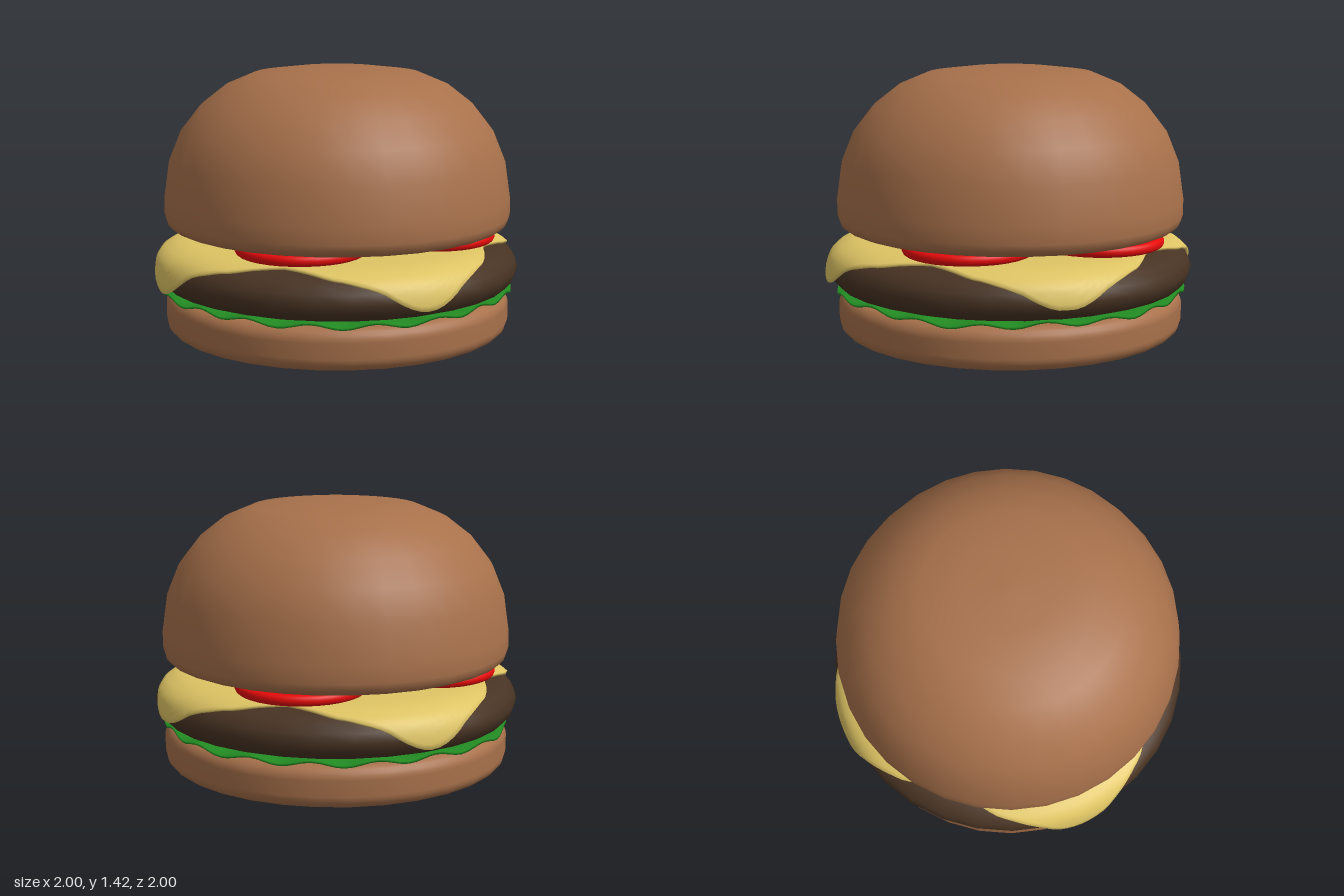
import * as THREE from 'three';

const TAU = Math.PI * 2;
const material = (color) => new THREE.MeshStandardMaterial({ color });

function addMesh(parent, name, geometry, mat) {
  const mesh = new THREE.Mesh(geometry, mat);
  mesh.name = name;
  parent.add(mesh);
  return mesh;
}

// Solid of revolution from [radius, height] pairs, listed bottom to top
function lathe(points) {
  return new THREE.LatheGeometry(points.map(([r, y]) => new THREE.Vector2(r, y)), 32);
}

// Flat puck with rounded rim
function puck(radius, y0, y1, round, steps = 6) {
  const inner = radius - round;
  const pts = [[0, y0], [inner - round * 0.3, y0]];
  for (const [y, start] of [[y0 + round, -Math.PI / 2], [y1 - round, 0]])
    for (let i = 0; i <= steps; i++) {
      const a = start + (i / steps) * (Math.PI / 2);
      pts.push([inner + Math.cos(a) * round, y + Math.sin(a) * round]);
    }
  pts.push([inner - round * 0.3, y1], [0, y1]);
  return lathe(pts);
}

// Linear lookup in a list of [key, ...values]
function lookup(table, key) {
  let i = 1;
  while (i < table.length - 1 && table[i][0] < key) i++;
  const a = table[i - 1], b = table[i];
  const t = (key - a[0]) / (b[0] - a[0]);
  return a.slice(1).map((v, k) => v + (b[k + 1] - v) * t);
}

// Closed thin sheet: rings run out over the top, round the edge and back underneath.
// place(t, angle, side) gives a point; t = 0 centre, t = 1 edge; side 1 top, -1 underside
function sheet(place, rings, segments) {
  const pos = [], index = [], rows = [];
  for (let i = 0; i <= rings; i++) rows.push([i / rings, 1]);
  for (let i = rings; i >= 0; i--) rows.push([i / rings, -1]);
  for (const [t, side] of rows)
    for (let j = 0; j < segments; j++) pos.push(...place(t, (j / segments) * TAU, side));
  for (let i = 0; i < rows.length - 1; i++)
    for (let j = 0; j < segments; j++) {
      const a = i * segments + j, b = i * segments + (j + 1) % segments;
      const c = a + segments, d = b + segments;
      index.push(a, c, b, b, c, d);
    }
  const g = new THREE.BufferGeometry();
  g.setAttribute('position', new THREE.Float32BufferAttribute(pos, 3));
  g.setIndex(index);
  g.computeVertexNormals();
  return g;
}

// Square slice draped over the patty, corners hanging on the four axes
function cheeseGeometry() {
  // distance along the drape -> radius, height
  const drape = [[0, 0, 0.505], [0.75, 0.75, 0.503], [0.82, 0.82, 0.499], [0.87, 0.87, 0.49],
    [0.94, 0.93, 0.465], [0.99, 0.97, 0.43], [1.04, 0.99, 0.38], [1.09, 1.0, 0.33], [1.16, 1.0, 0.26]];
  // degrees away from a corner -> length of the slice
  const reach = [[0, 1.115], [3, 1.11], [6, 1.09], [9, 1.06], [13, 1.015], [17, 0.985], [22, 0.955],
    [28, 0.925], [33, 0.885], [39, 0.84], [45, 0.815]];
  // +z, +x, -z and -x corners hang to slightly different depths
  const extra = [0, -0.02, 0.005, 0.02];
  return sheet((t, a, side) => {
    const quarter = Math.round(a / (Math.PI / 2));
    const off = Math.abs(a - quarter * Math.PI / 2) * 180 / Math.PI;
    const edge = lookup(reach, off)[0] + extra[quarter % 4] * Math.max(0, 1 - off / 15);
    const s = edge * Math.pow(t, 0.55);
    let [r, y] = lookup(drape, s);
    if (side < 0) {
      const [r0, y0] = lookup(drape, Math.max(0, s - 0.02));
      const [r1, y1] = lookup(drape, s + 0.02);
      const len = Math.hypot(r1 - r0, y1 - y0);
      r = Math.max(0, r + (y1 - y0) / len * 0.014);
      y -= (r1 - r0) / len * 0.014;
    }
    return [Math.sin(a) * r, y, Math.cos(a) * r];
  }, 24, 144);
}

// Leaf disc with a ruffled rim
function lettuceGeometry() {
  return sheet((t, a, side) => {
    const ruffle = Math.max(0, (t - 0.7) / 0.3);
    const r = t * (0.935 + 0.01 * Math.sin(a * 7 + 1) * ruffle);
    const y = 0.239 + ruffle * (0.013 * Math.sin(a * 18) + 0.004 * Math.sin(a * 5)) + side * 0.006;
    return [Math.sin(a) * r + 0.006, y, Math.cos(a) * r];
  }, 14, 144);
}

export function createModel() {
  const burger = new THREE.Group();
  burger.name = 'burger';
  const bun = material(0xa8714b);

  // Buns
  addMesh(burger, 'bottomBun', puck(0.928, 0, 0.222, 0.07), bun).position.x = 0.008;
  const crown = [[0, 0.565], [0.84, 0.565], [0.87, 0.568], [0.9, 0.58], [0.92, 0.602], [0.929, 0.635],
    [0.929, 0.72], [0.9, 0.92], [0.835, 1.08], [0.73, 1.215], [0.595, 1.32], [0.44, 1.385], [0.23, 1.411], [0, 1.417]];
  addMesh(burger, 'topBun', lathe(crown), bun).position.x = 0.008;

  // Lettuce
  addMesh(burger, 'lettuce', lettuceGeometry(), material(0x228b22));

  // Patty
  const patty = [[0, 0.242], [0.8, 0.242], [0.87, 0.248], [0.93, 0.268], [0.962, 0.305], [0.976, 0.35],
    [0.964, 0.4], [0.925, 0.445], [0.86, 0.474], [0.78, 0.484], [0, 0.486]];
  addMesh(burger, 'patty', lathe(patty), material(0x483323)).position.x = 0.006;

  // Cheese
  addMesh(burger, 'cheese', cheeseGeometry(), material(0xdec464));

  // Tomato slices
  const red = material(0xe60a0a);
  const slice = puck(0.341, 0.502, 0.558, 0.026);
  for (const x of [-0.368, 0.397])
    for (const z of [-0.37, 0.335]) addMesh(burger, 'tomatoSlice', slice, red).position.set(x, 0, z);

  return burger;
}
